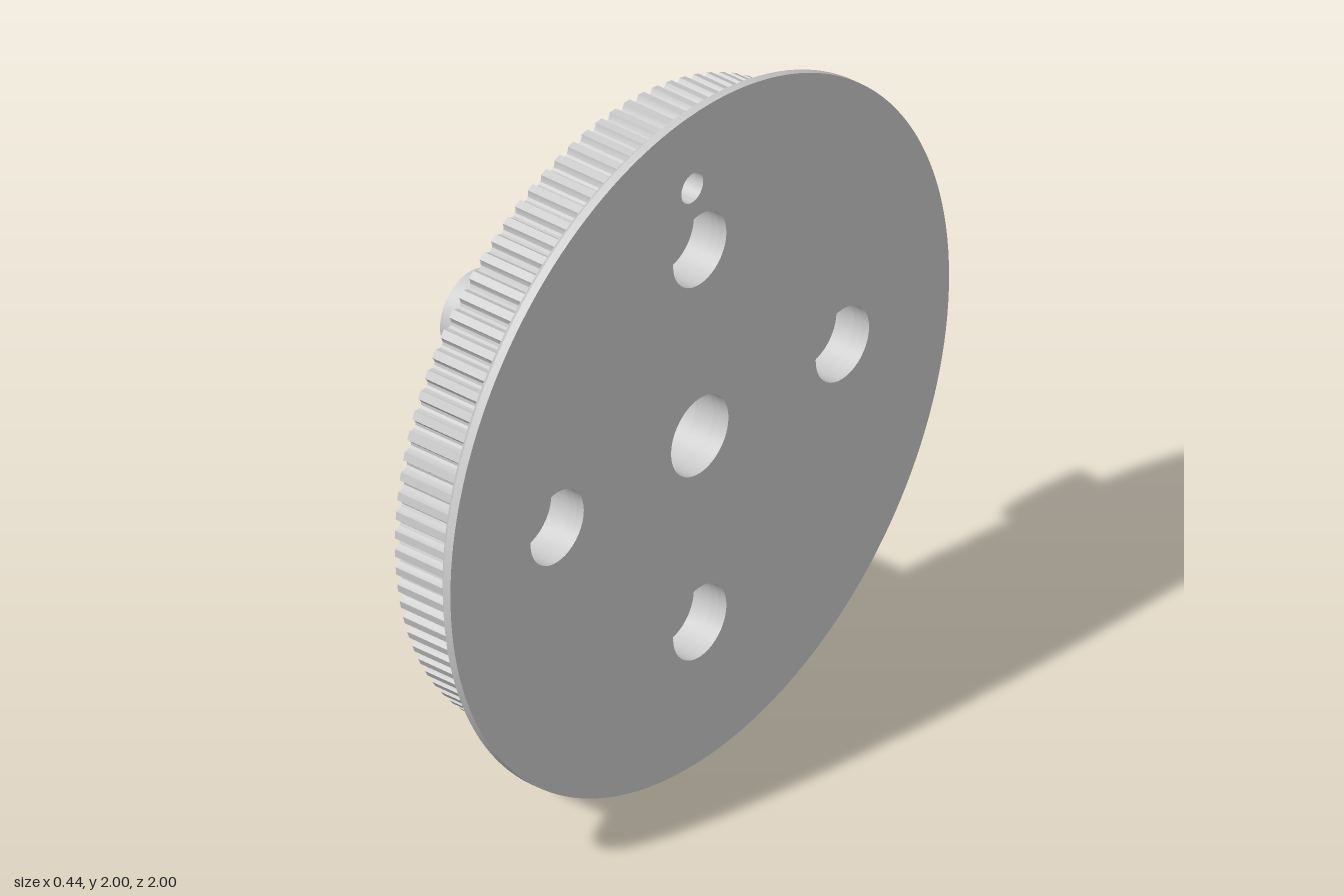
import * as THREE from 'three';
import { toCreasedNormals } from 'three/addons/utils/BufferGeometryUtils.js';

const TEETH = 100, R_TOOTH = 0.902, BOLT_R = 0.572;
const X_BACK = -0.05, X_STEP = 0.11, X_FLANGE = 0.17, X_RIM = 0.195, X_FRONT = 0.22;

const circle = (r, n, cx = 0, cy = 0) => Array.from({ length: n }, (_, i) => {
  const a = (i / n) * Math.PI * 2;
  return new THREE.Vector2(cx + r * Math.cos(a), cy + r * Math.sin(a));
});

// Outline of the toothed wheel: flat lands with round-bottomed grooves
function toothedOutline() {
  const groove = [[-0.0185, 0], [-0.0155, 0.009], [-0.009, 0.018], [0, 0.0213],
    [0.009, 0.018], [0.0155, 0.009], [0.0185, 0]];
  const pts = [];
  for (let i = 0; i < TEETH; i++) {
    for (const [da, depth] of groove) {
      const a = (i / TEETH) * Math.PI * 2 + da, r = R_TOOTH - depth;
      pts.push(new THREE.Vector2(r * Math.cos(a), r * Math.sin(a)));
    }
  }
  return pts;
}

export function createModel() {
  const group = new THREE.Group();
  const wheel = new THREE.Group();
  const material = new THREE.MeshStandardMaterial({ color: 0xcccccc });

  const add = (name, geometry) => {
    const mesh = new THREE.Mesh(geometry, material);
    mesh.name = name;
    wheel.add(mesh);
    return mesh;
  };

  // A slice of the wheel, pierced by the bore, index hole and four bolt holes
  const slice = (name, outline, boltRadius, from, to) => {
    const shape = new THREE.Shape(outline);
    const holes = [circle(0.115, 48), circle(0.044, 32, -0.03, 0.775)];
    for (let i = 0; i < 4; i++) {
      const a = (i * Math.PI) / 2;
      holes.push(circle(boltRadius, 40, BOLT_R * Math.cos(a), BOLT_R * Math.sin(a)));
    }
    shape.holes = holes.map((h) => new THREE.Path(h));
    const g = new THREE.ExtrudeGeometry(shape, { depth: to - from, bevelEnabled: false });
    g.translate(0, 0, from);
    add(name, toCreasedNormals(g, 0.55));
  };

  // Toothed body: narrow bolt holes behind, counterbores in front
  const teeth = toothedOutline();
  slice('toothedBody', teeth, 0.064, X_BACK, X_STEP);
  slice('counterboredBody', teeth, 0.107, X_STEP, X_FLANGE);

  // Flange with a chamfered rear edge
  slice('flangeBack', circle(0.972, 160), 0.107, X_FLANGE, X_RIM);
  slice('flangeFront', circle(1, 160), 0.107, X_RIM, X_FRONT);
  const chamfer = new THREE.LatheGeometry(
    [new THREE.Vector2(0.972, X_FLANGE), new THREE.Vector2(1, X_RIM)], 160);
  chamfer.rotateX(Math.PI / 2);
  add('flangeChamfer', chamfer).material = new THREE.MeshStandardMaterial({
    color: 0xcccccc, side: THREE.DoubleSide });

  // Four drive pegs on the rear face, between the bolt holes
  for (const sx of [-1, 1]) {
    for (const sy of [-1, 1]) {
      const peg = new THREE.CylinderGeometry(0.114, 0.114, 0.18, 48);
      peg.rotateX(Math.PI / 2);
      add('drivePeg', peg).position.set(sx * 0.405, sy * 0.405, -0.13);
    }
  }

  // Turn the wheel's axle onto x and stand it on the ground
  wheel.name = 'pulley';
  wheel.rotation.y = Math.PI / 2;
  wheel.position.y = 1;
  group.add(wheel);
  return group;
}
